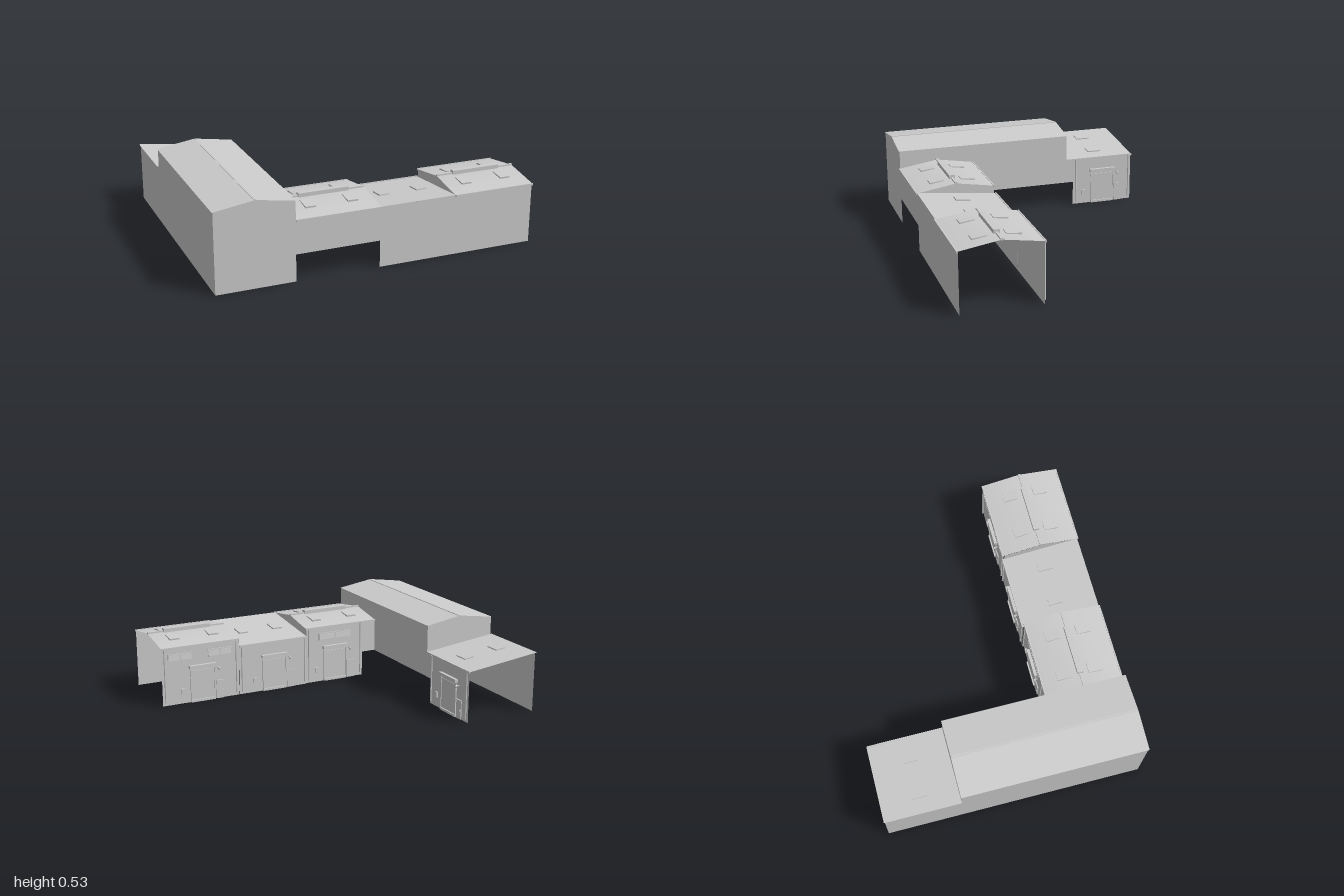
import * as THREE from 'three';

const grey = new THREE.MeshStandardMaterial({ color: 0xcccccc, side: THREE.DoubleSide });
grey.name = 'concrete grey';
const pale = new THREE.MeshStandardMaterial({ color: 0xd8d8d8, side: THREE.DoubleSide });
pale.name = 'pale pane';

function add(parent, name, geo, mat = grey, x = 0, y = 0, z = 0) {
  const m = new THREE.Mesh(geo, mat);
  m.name = name;
  m.position.set(x, y, z);
  parent.add(m);
  return m;
}

function box(parent, name, w, h, d, x, y, z, mat = grey) {
  return add(parent, name, new THREE.BoxGeometry(w, h, d), mat, x, y, z);
}

// Flat wall from an outline in its own plane: [u, y] points
function wall(parent, name, pts) {
  return add(parent, name, new THREE.ShapeGeometry(new THREE.Shape(pts.map(p => new THREE.Vector2(...p)))));
}

// Wall standing across x: outline given as [z, y] points
function sideWall(parent, name, x, pts) {
  const m = wall(parent, name, pts.map(([z, y]) => [-z, y]));
  m.rotation.y = Math.PI / 2;
  m.position.x = x;
}

// Sheet running between two matching rows of points, smooth across the folds
function sheet(parent, name, rowA, rowB) {
  const geo = new THREE.BufferGeometry();
  const n = rowA.length, index = [];
  for (let i = 0; i < n - 1; i++) index.push(i, i + 1, n + i, i + 1, n + i + 1, n + i);
  geo.setAttribute('position', new THREE.Float32BufferAttribute([...rowA, ...rowB].flat(), 3));
  geo.setIndex(index);
  geo.computeVertexNormals();
  return add(parent, name, geo);
}

// Courtyard front facing local +z, with gate, canopy, door, lamp and downpipes
function facade(name, w, h, gateX, windows, passage = 0) {
  const g = new THREE.Group();
  g.name = name;
  const a = w / 2;
  wall(g, 'courtyardWall', passage
    ? [[-a, 0], [a - passage, 0], [a - passage, 0.16], [a, 0.16], [a, h], [-a, h]]
    : [[-a, 0], [a, 0], [a, h], [-a, h]]);
  box(g, 'gate', 0.16, 0.205, 0.004, gateX, 0.1025, 0.002);
  for (const s of [-1, 1]) box(g, 'gateJamb', 0.005, 0.21, 0.008, gateX + s * 0.08, 0.105, 0.004);
  box(g, 'gateSill', 0.16, 0.015, 0.012, gateX, 0.0075, 0.006);
  box(g, 'canopy', 0.18, 0.02, 0.02, gateX, 0.231, 0.01);
  box(g, 'door', 0.05, 0.12, 0.006, gateX + 0.115, 0.06, 0.003);
  box(g, 'doorHandle', 0.008, 0.006, 0.008, gateX + 0.132, 0.055, 0.006);
  box(g, 'lampArm', 0.006, 0.006, 0.024, gateX + 0.105, 0.207, 0.012);
  add(g, 'lamp', new THREE.SphereGeometry(0.008, 10, 6), grey, gateX + 0.105, 0.203, 0.022);
  box(g, 'switchBox', 0.025, 0.035, 0.01, gateX - 0.135, 0.08, 0.005);
  for (const x of [-a + 0.018, a - passage - 0.018]) {
    add(g, 'downpipe', new THREE.CylinderGeometry(0.005, 0.005, h - 0.02, 8), grey, x, 0.02 + (h - 0.02) / 2, 0.007);
  }
  for (const [x, ww] of windows) {
    box(g, 'windowFrame', ww, 0.05, 0.006, x, 0.305, 0.003);
    for (const s of [-1, 1]) box(g, 'windowPane', ww / 2 - 0.01, 0.036, 0.003, x + s * ww / 4, 0.305, 0.0065, pale);
  }
  return g;
}

// Gabled roof along x with ridge strip, vent box and skylights
function gabledRoof(parent, x0, x1, zBack) {
  const g = new THREE.Group();
  g.name = 'gabledRoof';
  const zr = 0.555, yr = 0.412, ye = 0.372, zf = 0.808;
  const row = x => [[x, ye, zBack], [x, yr, zr], [x, ye, zf]];
  sheet(g, 'roofSlopes', row(x0), row(x1));
  const mid = (x0 + x1) / 2, w = x1 - x0;
  box(g, 'ridgeStrip', w, 0.012, 0.015, mid, yr + 0.002, zr);
  box(g, 'ridgeVent', 0.31, 0.024, 0.036, mid, 0.421, zr);
  box(g, 'frontGutter', w, 0.012, 0.008, mid, 0.37, zf - 0.004);
  box(g, 'backGutter', w, 0.012, 0.008, mid, 0.37, zBack + 0.004);
  for (const dx of [-0.13, 0.13]) for (const s of [-1, 1]) {
    const m = box(g, 'skylight', 0.065, 0.014, 0.09, mid + dx, 0.397, zr + s * 0.098);
    m.rotation.x = s * 0.1;
  }
  parent.add(g);
}

export function createModel() {
  const model = new THREE.Group();
  model.name = 'yardBuildings';

  // Tall hall
  const hall = new THREE.Group();
  hall.name = 'hall';
  model.add(hall);
  const L = -0.99, R = -0.515, M = -0.7525, EAVE = 0.49, TOP = 0.527;
  wall(hall, 'frontGable', [[L, 0], [R, 0], [R, EAVE], [M, TOP], [L, EAVE]]).position.z = 0.798;
  wall(hall, 'backGable', [[L, 0.372], [R, 0.32], [R, EAVE], [M, TOP], [L, EAVE]]).position.z = -0.342;
  sideWall(hall, 'outerWall', L, [[0.798, 0], [-0.81, 0], [-0.81, 0.374], [-0.342, 0.374], [-0.342, EAVE], [0.798, EAVE]]);
  sideWall(hall, 'courtyardWall', R,
    [[0.798, 0.325], [0.32, 0.325], [0.32, 0.16], [-0.39, 0.16], [-0.39, 0.318], [-0.342, 0.318], [-0.342, EAVE], [0.798, EAVE]]);
  const slope = (xa, ya, xb, yb) => sheet(hall, 'roofSlope',
    [[xa, ya, 0.803], [xb, yb, 0.803]], [[xa, ya, -0.345], [xb, yb, -0.345]]);
  // rows run left to right, so the faces must look upward
  slope(L - 0.005, EAVE, M, TOP);
  slope(M, TOP, R + 0.003, EAVE);
  box(hall, 'ridgeStrip', 0.014, 0.008, 1.14, M + 0.003, TOP - 0.002, 0.229);

  // Lean-to behind the hall
  const leanTo = new THREE.Group();
  leanTo.name = 'leanTo';
  model.add(leanTo);
  sheet(leanTo, 'leanToRoof', [[-1, 0.376, -0.342], [-0.51, 0.32, -0.342]], [[-1, 0.376, -0.815], [-0.51, 0.32, -0.815]]);
  box(leanTo, 'gutter', 0.008, 0.012, 0.473, -0.511, 0.319, -0.578);
  for (const [x, y] of [[-0.87, 0.362], [-0.64, 0.336]]) {
    box(leanTo, 'skylight', 0.065, 0.012, 0.09, x, y, -0.577).rotation.z = -0.114;
  }
  const backFront = facade('leanToFacade', 0.42, 0.318, 0, []);
  backFront.rotation.y = Math.PI / 2;
  backFront.position.set(-0.515, 0, -0.6);
  model.add(backFront);

  // Long street wall of the row, with the low drive-through
  wall(model, 'streetWall', [[R, 0.165], [0, 0.165], [0, 0], [0.995, 0], [0.995, 0.372], [R, 0.372]]).position.z = 0.798;

  // Two gabled units with a low unit between them
  gabledRoof(model, R, 0.003, 0.312);
  gabledRoof(model, 0.48, 0.998, 0.302);
  sheet(model, 'middleRoof', [[0, 0.323, 0.302], [0, 0.374, 0.8]], [[0.48, 0.323, 0.302], [0.48, 0.374, 0.8]]);
  box(model, 'middleGutter', 0.48, 0.012, 0.008, 0.24, 0.322, 0.306);
  for (const x of [0.12, 0.36]) box(model, 'middleSkylight', 0.065, 0.012, 0.09, x, 0.351, 0.55).rotation.x = -0.102;
  for (const x of [0, 0.48]) {
    sideWall(model, 'stepGable', x, [[0.798, 0.373], [0.316, 0.324], [0.316, 0.372], [0.555, 0.411]]);
  }

  // Courtyard fronts of the row
  const fronts = [
    [facade('endFacade', 0.515, 0.372, 0.01, [[-0.135, 0.16], [0.13, 0.16]]), 0.74, 0.314],
    [facade('middleFacade', 0.48, 0.322, 0.005, []), 0.24, 0.314],
    [facade('innerFacade', 0.515, 0.372, -0.045, [[-0.045, 0.24]], 0.095), -0.2575, 0.322],
  ];
  for (const [f, x, z] of fronts) {
    f.rotation.y = Math.PI;
    f.position.set(x, 0, z);
    model.add(f);
  }
  return model;
}
